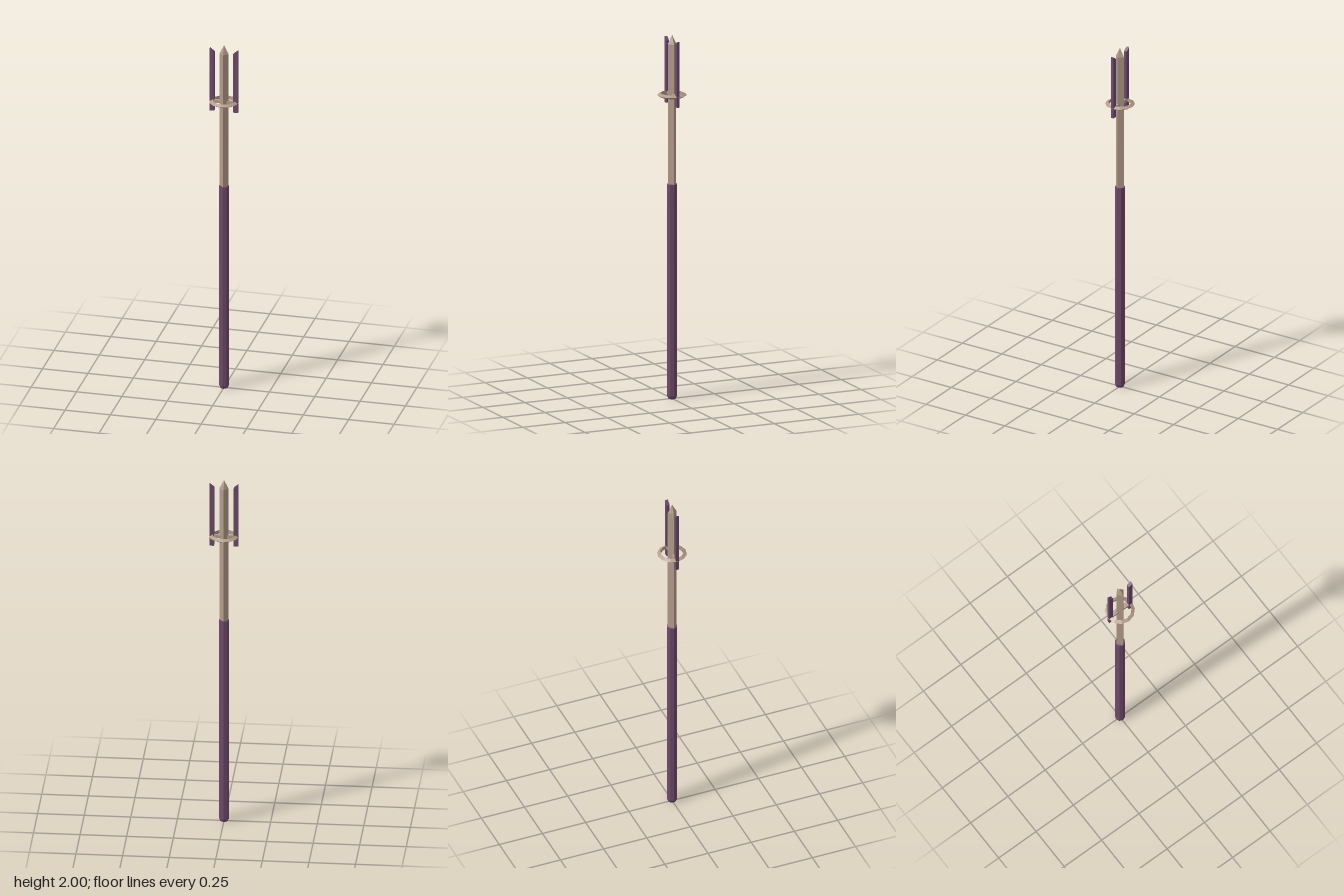
import * as THREE from 'three';

export function createModel() {
  const group = new THREE.Group();
  const purple = new THREE.MeshStandardMaterial({ color: 0x6d4a6b, flatShading: true });
  purple.name = 'dusty purple';
  const tan = new THREE.MeshStandardMaterial({ color: 0xb39c8b, flatShading: true });
  tan.name = 'warm tan';

  const add = (name, geometry, material, x = 0, y = 0, z = 0) => {
    const mesh = new THREE.Mesh(geometry, material);
    mesh.name = name;
    mesh.position.set(x, y, z);
    group.add(mesh);
    return mesh;
  };
  const turned = (points, sides) =>
    new THREE.LatheGeometry(points.map(([r, y]) => new THREE.Vector2(r, y)), sides);

  // Octagonal grip with a chamfered butt
  add('grip', turned([[0, 0], [0.02, 0], [0.028, 0.016], [0.028, 1.18], [0, 1.18]], 8), purple);

  // Square shaft, turned edge-on, ending in a pointed tip
  add('shaft', turned([[0, 1.17], [0.025, 1.17], [0.025, 1.95], [0, 2]], 4), tan);

  // Ring with a triangular section, and the bar that holds it to the shaft
  add('ring', new THREE.TorusGeometry(0.068, 0.012, 3, 12).rotateX(Math.PI / 2), tan, 0, 1.67);
  add('crossbar', new THREE.BoxGeometry(0.13, 0.016, 0.017), tan, 0, 1.67);

  // Two side prongs, cut at a slant so the outer edge is higher
  for (const side of [1, -1]) {
    const outline = new THREE.Shape([
      [0.053, 1.615], [0.078, 1.615], [0.078, 1.976], [0.053, 1.957],
    ].map(([x, y]) => new THREE.Vector2(side * x, y)));
    const prong = new THREE.ExtrudeGeometry(outline, { depth: 0.017, bevelEnabled: false });
    add(side > 0 ? 'leftProng' : 'rightProng', prong, purple, 0, 0, -0.0085);
  }
  return group;
}
